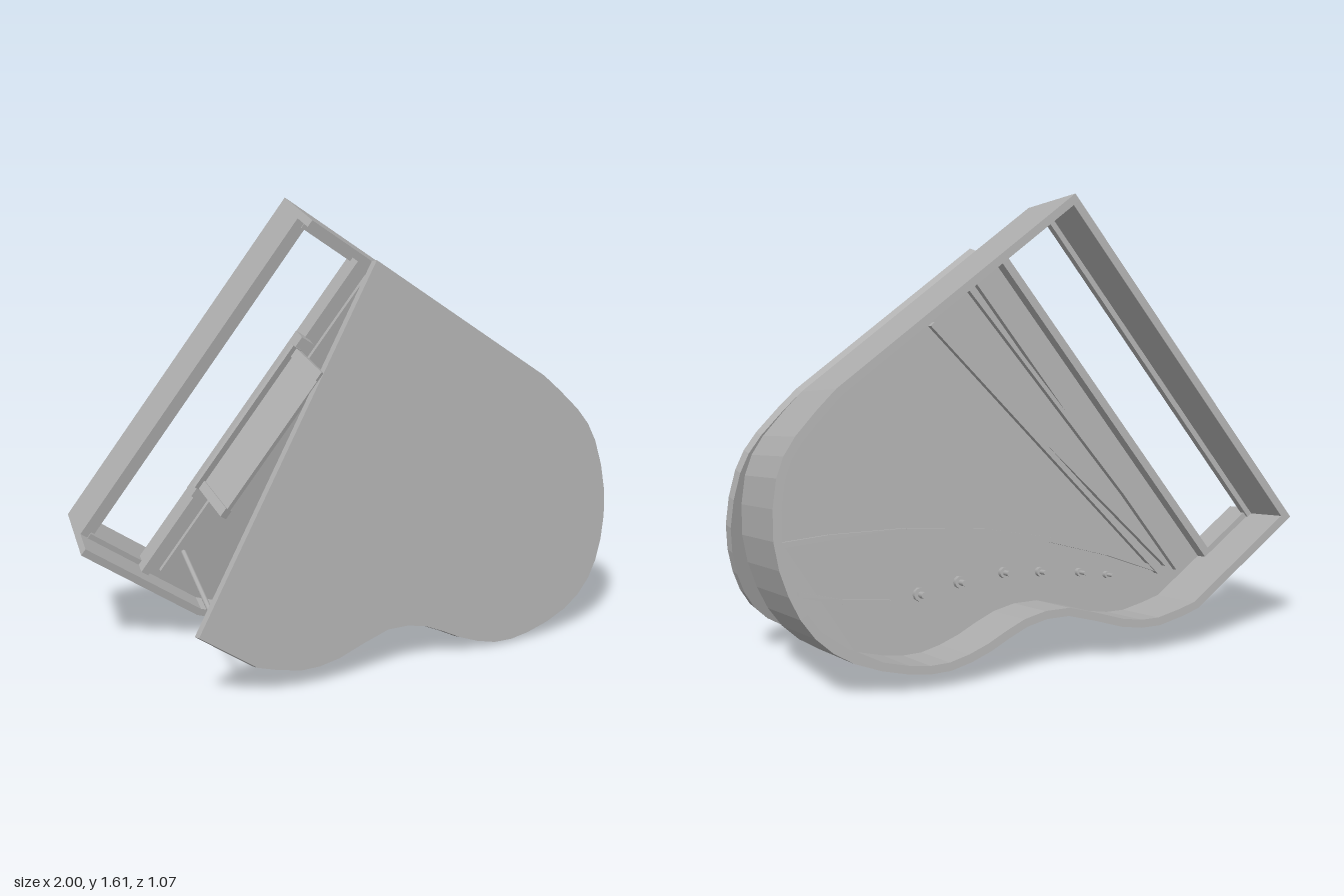
import * as THREE from 'three';

const WIDTH = 1.443, HEIGHT = 0.365, LID_START = 0.27, BOARD = 0.25;

// Curved case outline: x runs across the keyboard, y runs toward the tail
function curvedOutline() {
  const points = [
    [0, 1.1], [0.035, 1.3], [0.1, 1.43], [0.25, 1.56], [0.42, 1.63], [0.58, 1.645],
    [0.73, 1.596], [0.88, 1.48], [0.973, 1.36], [1.02, 1.21], [1.045, 1.06],
    [1.12, 0.92], [1.288, 0.786], [1.385, 0.668], [1.443, 0.51],
  ].map(([x, y]) => new THREE.Vector2(x, y));
  return new THREE.SplineCurve(points).getPoints(28);
}

function caseOutline(start) {
  return [new THREE.Vector2(0, start), ...curvedOutline(), new THREE.Vector2(WIDTH, start)];
}

// Moves an open outline inward by a fixed distance
function inset(points, distance) {
  return points.map((p, i) => {
    const a = points[Math.max(i - 1, 0)], b = points[Math.min(i + 1, points.length - 1)];
    const t = b.clone().sub(a).normalize();
    return new THREE.Vector2(p.x + t.y * distance, p.y - t.x * distance);
  });
}

function extrude(points, depth) {
  return new THREE.ExtrudeGeometry(new THREE.Shape(points), { depth, bevelEnabled: false });
}

export function createModel() {
  const grey = new THREE.MeshStandardMaterial({ color: 0xb0b0b0 });
  grey.name = 'plain grey';

  const model = new THREE.Group();
  model.name = 'grandPianoBody';
  const piano = new THREE.Group();
  piano.name = 'tiltedCase';
  model.add(piano);

  function add(name, geometry, parent = piano) {
    const mesh = new THREE.Mesh(geometry, grey);
    mesh.name = name;
    parent.add(mesh);
    return mesh;
  }
  // Box given by its limits across, along and up
  function box(name, x0, x1, y0, y1, z0, z1) {
    const mesh = add(name, new THREE.BoxGeometry(x1 - x0, y1 - y0, z1 - z0));
    mesh.position.set((x0 + x1) / 2, (y0 + y1) / 2, (z0 + z1) / 2);
    return mesh;
  }
  // Flat bar between two points on the board
  function bar(name, a, b, width, z0, z1) {
    const dx = b[0] - a[0], dy = b[1] - a[1];
    const mesh = add(name, new THREE.BoxGeometry(Math.hypot(dx, dy), width, z1 - z0));
    mesh.position.set((a[0] + b[0]) / 2, (a[1] + b[1]) / 2, (z0 + z1) / 2);
    mesh.rotation.z = Math.atan2(dy, dx);
    return mesh;
  }

  // Rim: thin bent wall, open at the keyboard end and underneath
  const outer = caseOutline(0);
  add('rim', extrude([...outer, ...inset(outer, 0.028).reverse()], HEIGHT));

  // Keyboard end
  box('frontPanel', 0, WIDTH, 0, 0.03, 0, 0.235);
  box('keySlip', 0.028, WIDTH - 0.028, 0.03, 0.05, 0.19, 0.22);
  for (const x of [0.028, WIDTH - 0.048]) box('keyBlock', x, x + 0.02, 0.03, 0.26, 0.2, 0.24);
  box('bellyRail', 0.028, WIDTH - 0.028, 0.255, 0.285, 0.2, 0.3);
  box('pinBlock', 0.06, WIDTH - 0.06, 0.32, 0.4, 0.225, 0.29);

  // Soundboard inside the rim
  const board = add('soundboard', extrude(inset(caseOutline(0.27), 0.02), 0.02));
  board.position.z = BOARD;

  // Struts and bridges under the board
  bar('strut', [0.08, 0.62], [1.34, 0.46], 0.02, 0.225, BOARD);
  bar('strut', [0.06, 0.43], [1.34, 0.38], 0.015, 0.225, BOARD);
  bar('strut', [0.1, 0.62], [1.34, 0.42], 0.015, 0.225, BOARD);
  const bridges = [
    [[0.3, 1.56], [0.42, 1.36], [0.58, 1.134], [0.77, 0.91], [0.96, 0.73], [1.15, 0.58], [1.33, 0.46]],
    [[0.5, 1.56], [0.62, 1.46], [0.735, 1.33]],
  ];
  for (const path of bridges) {
    for (let i = 0; i < path.length - 1; i++) {
      bar('bridgeSegment', path[i], path[i + 1], 0.018, 0.232, BOARD);
    }
  }

  // Round bolts beside the long bridge
  const bolts = [[0.785, 1.23], [0.85, 1.09], [0.935, 0.94], [1.025, 0.83], [1.13, 0.71], [1.21, 0.63]];
  bolts.forEach(([x, y], i) => {
    const radius = 0.024 - i * 0.0022;
    const head = add('boltHead', new THREE.CylinderGeometry(radius, radius, 0.02, 10));
    const stem = add('boltStem', new THREE.CylinderGeometry(radius * 0.5, radius * 0.5, 0.04, 8));
    for (const part of [head, stem]) part.rotation.x = Math.PI / 2;
    head.position.set(x, y, BOARD - 0.01);
    stem.position.set(x, y, BOARD - 0.035);
  });

  // Music desk leaning toward the tail
  const desk = new THREE.Group();
  desk.name = 'musicDesk';
  desk.position.set(0.71, 0.23, 0.36);
  desk.rotation.x = -0.2;
  piano.add(desk);
  add('deskPanel', new THREE.BoxGeometry(0.6, 0.014, 0.22), desk).position.z = 0.11;
  for (const side of [-1, 1]) {
    add('deskFrame', new THREE.BoxGeometry(0.035, 0.026, 0.22), desk).position.set(side * 0.29, 0, 0.11);
  }
  add('deskLedge', new THREE.BoxGeometry(0.62, 0.04, 0.018), desk).position.set(0, -0.01, 0.005);
  box('deskShelf', 0.36, 1.06, 0.22, 0.275, 0.28, 0.36);

  // Raised lid, hinged along the straight side
  const lid = add('lid', extrude(caseOutline(LID_START), 0.035));
  lid.position.z = HEIGHT;
  lid.rotation.y = -THREE.MathUtils.degToRad(23.5);

  // Place the case in its leaning pose
  const across = new THREE.Vector3(-0.566, -0.818, -0.104).normalize();
  const up = new THREE.Vector3(0.044, -0.157, 0.986).normalize();
  const along = up.clone().cross(across).normalize();
  up.crossVectors(across, along);
  piano.quaternion.setFromRotationMatrix(new THREE.Matrix4().makeBasis(across, along, up));
  piano.position.set(-0.184, 1.61, -0.27);

  // Prop stick from the rim to the lid
  const foot = new THREE.Vector3(-0.615, 0.35, -0.08), tip = new THREE.Vector3(-0.597, 0.272, 0.44);
  const stick = add('propStick', new THREE.CylinderGeometry(0.01, 0.01, foot.distanceTo(tip), 8), model);
  stick.position.copy(foot).lerp(tip, 0.5);
  stick.quaternion.setFromUnitVectors(new THREE.Vector3(0, 1, 0), tip.clone().sub(foot).normalize());

  return model;
}
